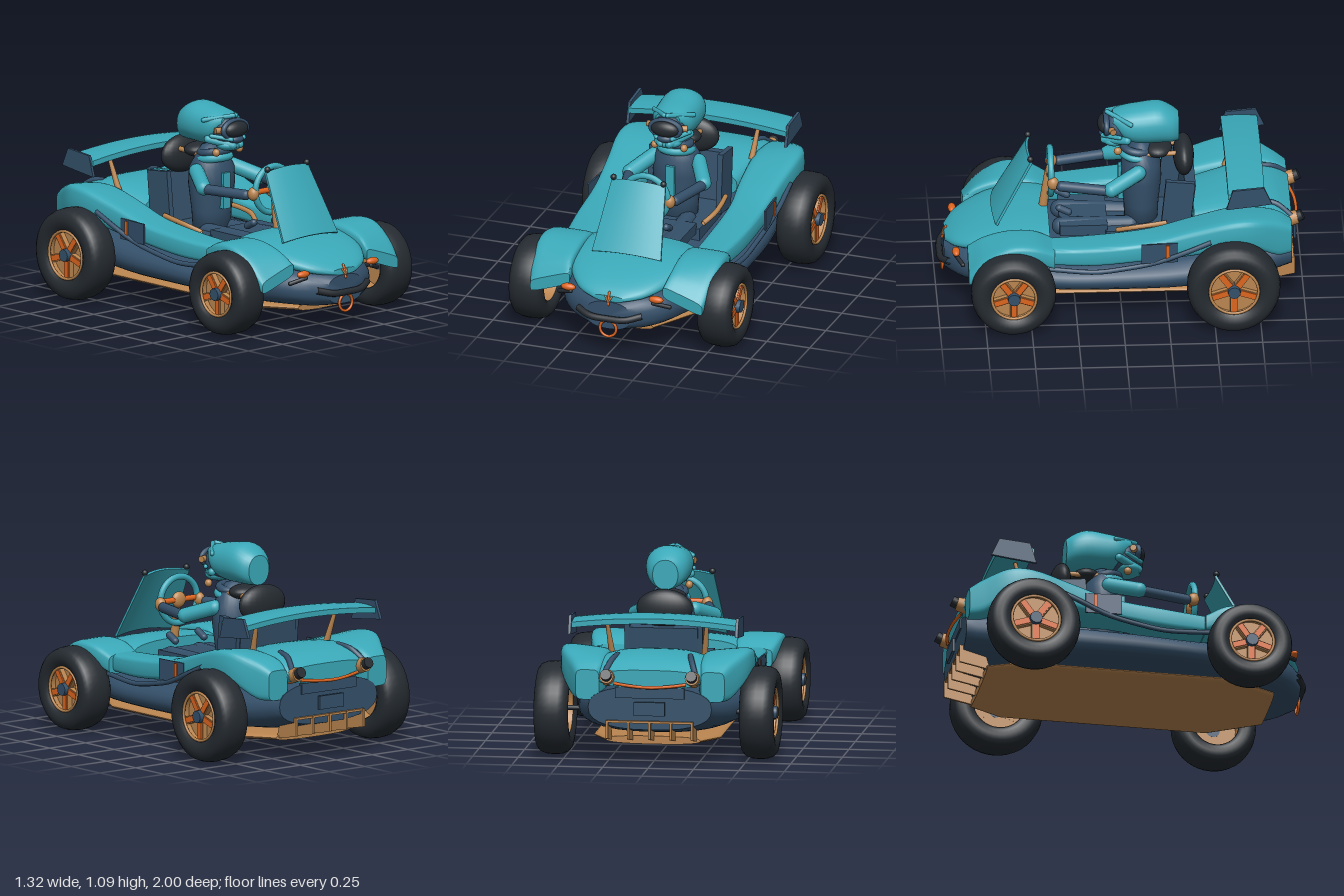
import * as THREE from 'three';
import { toCreasedNormals } from 'three/addons/utils/BufferGeometryUtils.js';

const paint = (name, color) => Object.assign(new THREE.MeshStandardMaterial({ color, side: THREE.DoubleSide }), { name });
const V = (x, y, z) => new THREE.Vector3(x, y, z);

// Rounded-box cross-section at depth z; p = 2 is an ellipse, larger is squarer
function ring(z, x0, x1, y0, y1, p = 3, n = 28) {
  const out = [];
  for (let i = 0; i < n; i++) {
    const a = (i / n) * Math.PI * 2, c = Math.cos(a), s = Math.sin(a);
    out.push(V((x0 + x1) / 2 + Math.sign(c) * Math.abs(c) ** (2 / p) * (x1 - x0) / 2,
      (y0 + y1) / 2 + Math.sign(s) * Math.abs(s) ** (2 / p) * (y1 - y0) / 2, z));
  }
  return out;
}

// Smooth skin through cross-sections ordered from front to back, with end caps
function loft(rings, crease = 0.7, sub = 4) {
  const n = rings[0].length, rows = (rings.length - 1) * sub;
  const lines = rings[0].map((_, j) => new THREE.CatmullRomCurve3(rings.map(r => r[j])));
  const pos = [], idx = [];
  for (let i = 0; i <= rows; i++) for (const l of lines) pos.push(...l.getPoint(i / rows).toArray());
  for (let i = 0; i < rows; i++) for (let j = 0; j < n; j++) {
    const k = (j + 1) % n, a = i * n + j, b = i * n + k;
    idx.push(a, a + n, b, a + n, b + n, b);
  }
  [0, rows].forEach((row, end) => {
    const c = V(0, 0, 0), o = row * n, m = pos.length / 3;
    rings[end ? rings.length - 1 : 0].forEach(p => c.addScaledVector(p, 1 / n));
    pos.push(c.x, c.y, c.z);
    for (let j = 0; j < n; j++) {
      const k = (j + 1) % n;
      idx.push(m, o + (end ? k : j), o + (end ? j : k));
    }
  });
  const g = new THREE.BufferGeometry();
  g.setAttribute('position', new THREE.Float32BufferAttribute(pos, 3));
  g.setIndex(idx);
  return toCreasedNormals(g, crease);
}

// Moves every vertex of a geometry by a rule
function bend(geo, rule) {
  const p = geo.attributes.position;
  for (let i = 0; i < p.count; i++) p.setXYZ(i, ...rule(p.getX(i), p.getY(i), p.getZ(i)));
  return toCreasedNormals(geo, 0.6);
}

export function createModel() {
  const teal = paint('teal', 0x3aa8b8), navy = paint('navy', 0x34506a), black = paint('rubber', 0x252b31);
  const tan = paint('tan', 0xbb8650), orange = paint('orange', 0xdd651f);
  const car = new THREE.Group();
  car.name = 'buggy';

  const add = (name, geo, mat, x = 0, y = 0, z = 0, parent = car) => {
    const m = new THREE.Mesh(geo, mat);
    m.name = name;
    m.position.set(x, y, z);
    parent.add(m);
    return m;
  };
  const box = (name, mat, w, h, d, x, y, z) => add(name, new THREE.BoxGeometry(w, h, d), mat, x, y, z);
  const ball = (name, mat, rx, ry, rz, x, y, z) => add(name, new THREE.SphereGeometry(1, 24, 16).scale(rx, ry, rz), mat, x, y, z);
  const tube = (name, mat, r, pts) => add(name, new THREE.TubeGeometry(new THREE.CatmullRomCurve3(pts), 24, r, 8), mat);
  // Rounded or tapered limb between two points
  const limb = (name, mat, a, b, r0, r1 = r0, round = true) => {
    const d = b.clone().sub(a), len = d.length();
    const geo = round ? new THREE.CapsuleGeometry(r0, len, 6, 14) : new THREE.CylinderGeometry(r1, r0, len, 16);
    const m = add(name, geo, mat, ...a.clone().add(b).multiplyScalar(0.5).toArray());
    m.quaternion.setFromUnitVectors(V(0, 1, 0), d.normalize());
    return m;
  };
  // Upright plate drawn as (distance behind centre, height)
  const plate = (pts, depth) => new THREE.ExtrudeGeometry(new THREE.Shape(pts.map(p => new THREE.Vector2(...p))), { depth, bevelEnabled: false }).rotateY(Math.PI / 2);
  const body = (name, mat, p, rows, sub) => add(name, loft(rows.map(([z, w, y0, y1]) => ring(z, -w, w, y0, y1, p)), 0.7, sub), mat);

  // Tub, floor plate, hood and rear deck
  body('tub', navy, 2.5, [[0.96, 0.13, 0.15, 0.31], [0.85, 0.28, 0.13, 0.35], [0.6, 0.4, 0.12, 0.38], [0.36, 0.46, 0.13, 0.34],
    [0, 0.48, 0.13, 0.35], [-0.35, 0.47, 0.13, 0.37], [-0.7, 0.42, 0.15, 0.42], [-0.93, 0.34, 0.2, 0.44]]);
  body('floorPlate', tan, 2.6, [[0.8, 0.2, 0.1, 0.145], [0.52, 0.35, 0.09, 0.145], [-0.62, 0.35, 0.09, 0.145], [-0.8, 0.26, 0.1, 0.145]], 1);
  body('hood', teal, 2.4, [[0.955, 0.09, 0.31, 0.345], [0.9, 0.19, 0.31, 0.385], [0.8, 0.27, 0.32, 0.43], [0.65, 0.33, 0.34, 0.472],
    [0.5, 0.34, 0.36, 0.49], [0.39, 0.3, 0.37, 0.48]]);
  body('rearDeck', teal, 2.8, [[-0.4, 0.24, 0.4, 0.55], [-0.55, 0.27, 0.4, 0.59], [-0.7, 0.32, 0.42, 0.605], [-0.84, 0.33, 0.42, 0.58], [-0.93, 0.28, 0.43, 0.53]]);

  // Curved windscreen
  add('windscreen', bend(new THREE.BoxGeometry(2, 0.405, 0.014, 12, 4, 1), (u, y, z) =>
    [u * (0.178 - y * 0.11), y + 0.008 * (1 - u * u), z + 0.025 * (1 - u * u)]), teal, 0, 0.644, 0.58).rotation.x = -0.495;

  // Front details
  tube('frontBumper', black, 0.019, [V(-0.185, 0.24, 0.935), V(-0.1, 0.22, 0.975), V(0, 0.217, 0.98), V(0.1, 0.22, 0.975), V(0.185, 0.24, 0.935)]);
  add('towRing', new THREE.TorusGeometry(0.047, 0.008, 8, 28), orange, 0, 0.155, 0.965);
  limb('noseOrnament', orange, V(0, 0.295, 0.965), V(0, 0.36, 0.945), 0.007);

  for (const s of [-1, 1]) {
    const side = s < 0 ? 'right' : 'left';
    // Side section; skew raises its outer edge
    const half = ([z, x0, x1, y0, y1, skew = 0]) => ring(z, s < 0 ? -x1 : x0, s < 0 ? -x0 : x1, y0, y1, 5)
      .map(p => V(p.x, p.y + skew * ((Math.abs(p.x) - x0) / (x1 - x0) - 0.5), z));
    // Side pod flowing into the rear fender
    add(side + 'SidePod', loft([[0.39, 0.29, 0.46, 0.34, 0.44], [0.15, 0.29, 0.485, 0.34, 0.455], [-0.15, 0.29, 0.495, 0.37, 0.49],
      [-0.38, 0.26, 0.51, 0.39, 0.55, 0.02], [-0.6, 0.25, 0.53, 0.43, 0.605, 0.03], [-0.72, 0.25, 0.515, 0.42, 0.605, 0.03],
      [-0.85, 0.26, 0.45, 0.36, 0.57], [-0.925, 0.28, 0.41, 0.36, 0.525]].map(half)), teal);
    add(side + 'FrontFender', loft([[0.84, 0.27, 0.5, 0.285, 0.355, -0.08], [0.76, 0.28, 0.52, 0.3, 0.43, -0.05], [0.62, 0.28, 0.53, 0.37, 0.49],
      [0.48, 0.28, 0.52, 0.37, 0.485], [0.37, 0.28, 0.49, 0.33, 0.435]].map(half)), teal);
    // Side bar and door panel with two marker strips
    tube('sideBar', navy, 0.014, [V(s * 0.47, 0.33, 0.4), V(s * 0.488, 0.315, 0.15), V(s * 0.495, 0.335, 0), V(s * 0.505, 0.375, -0.18), V(s * 0.52, 0.44, -0.34), V(s * 0.52, 0.5, -0.48)]);
    box('doorPanel', navy, 0.009, 0.115, 0.2, s * 0.509, 0.435, -0.2).rotation.y = s * 0.06;
    for (const z of [-0.16, -0.245]) box('markerStrip', orange, 0.006, 0.095, 0.022, s * (0.514 - (z + 0.2) * 0.06), 0.437, z);
    // Lights and small front bars
    ball('headlight', orange, 0.042, 0.02, 0.022, s * 0.255, 0.337, 0.9);
    limb('frontSlash', black, V(s * 0.24, 0.315, 0.905), V(s * 0.32, 0.288, 0.865), 0.012);
    limb('noseProng', tan, V(s * 0.004, 0.315, 0.965), V(s * 0.018, 0.34, 0.955), 0.005);
    ball('screenKnob', black, 0.017, 0.017, 0.017, s * 0.145, 0.838, 0.49);
    // Rear seams and exhausts
    tube('deckSeam', navy, 0.016, [V(s * 0.2, 0.585, -0.76), V(s * 0.22, 0.57, -0.85), V(s * 0.25, 0.51, -0.93)]);
    limb('exhaust', tan, V(s * 0.235, 0.475, -0.88), V(s * 0.235, 0.497, -0.965), 0.045, 0.038, false);
    limb('exhaustTip', black, V(s * 0.235, 0.492, -0.95), V(s * 0.235, 0.512, -0.99), 0.03, 0.03, false);
    // Wing supports and end plates
    limb('wingStrut', tan, V(s * 0.255, 0.56, -0.59), V(s * 0.275, 0.75, -0.65), 0.018, 0.01, false);
    add('wingEndPlate', plate([[0.565, 0.67], [0.6, 0.785], [0.77, 0.8], [0.815, 0.7], [0.7, 0.685]], 0.016), navy, s * 0.46 - 0.008);
    // Seat sides with trim
    box('seatSide', navy, 0.03, 0.34, 0.16, s * 0.2, 0.54, -0.31).rotation.x = -0.1;
    tube('seatTrim', tan, 0.014, [V(s * 0.2, 0.42, 0.02), V(s * 0.235, 0.45, -0.06), V(s * 0.24, 0.465, -0.15), V(s * 0.23, 0.475, -0.25)]);
    // Driver's limbs
    limb('upperArm', teal, V(s * 0.13, 0.73, -0.1), V(s * 0.215, 0.675, 0.05), 0.042);
    limb('forearm', navy, V(s * 0.215, 0.67, 0.07), V(s * 0.15, 0.67, 0.32), 0.029);
    ball('hand', tan, 0.03, 0.038, 0.032, s * 0.135, 0.68, 0.365);
    limb('leg', navy, V(s * 0.08, 0.39, -0.06), V(s * 0.1, 0.4, 0.32), 0.05);
    limb('kneePad', navy, V(s * 0.1, 0.485, 0.28), V(s * 0.1, 0.51, 0.33), 0.02);
    // Neck brace and helmet side pieces
    limb('neckBrace', tan, V(s * 0.07, 0.81, -0.14), V(s * 0.06, 0.812, -0.31), 0.014);
    ball('strapBuckle', tan, 0.02, 0.022, 0.022, s * 0.085, 0.845, 0.01);
    limb('helmetBolt', tan, V(s * 0.085, 0.975, 0.045), V(s * 0.115, 0.975, 0.035), 0.018, 0.018, false);
    limb('jawBar', teal, V(s * 0.025, 0.888, 0.08), V(s * 0.1, 0.915, -0.04), 0.022);
    limb('cheekBar', teal, V(s * 0.045, 0.925, 0.09), V(s * 0.112, 0.94, 0.0), 0.012);
    limb('browBar', teal, V(s * 0.01, 1.05, 0.065), V(s * 0.115, 1.02, -0.06), 0.013);

    // Wheels with open rim barrel, spokes and hub
    for (const [pos, z, r, x0, x1] of [['Front', 0.6, 0.232, 0.45, 0.645], ['Rear', -0.6, 0.256, 0.47, 0.66]]) {
      const wheel = new THREE.Group();
      wheel.name = side + pos + 'Wheel';
      wheel.position.set(s * (x0 + x1) / 2, r, z);
      wheel.rotation.z = -s * Math.PI / 2;
      car.add(wheel);
      const h = (x1 - x0) / 2, ri = r * 0.55;
      const wall = [[ri, 0.8], [ri * 1.15, 0.96], [r * 0.75, 1], [r * 0.86, 0.95], [r * 0.94, 0.78], [r * 0.985, 0.45]];
      const tyre = [...wall.map(([a, b]) => [a, -b]), [r, 0], ...wall.reverse(), [ri, -0.8]];
      add('tyre', toCreasedNormals(new THREE.LatheGeometry(tyre.map(([a, b]) => new THREE.Vector2(a, b * h)), 40), 0.8), black, 0, 0, 0, wheel);
      add('rimBarrel', new THREE.CylinderGeometry(ri * 0.985, ri * 0.985, h * 1.62, 36, 1, true), tan, 0, 0, 0, wheel);
      add('rimLip', new THREE.TorusGeometry(ri * 0.94, 0.008, 8, 36).rotateX(Math.PI / 2), tan, 0, h * 0.78, 0, wheel);
      add('rimDish', new THREE.CylinderGeometry(ri * 0.98, ri * 0.98, 0.02, 36), tan, 0, h * 0.25, 0, wheel);
      for (let i = 0; i < 5; i++) {
        const arm = new THREE.Group();
        arm.name = 'spoke';
        arm.rotation.y = i * Math.PI * 0.4 + (s > 0 ? 0 : Math.PI);
        wheel.add(arm);
        add('spokeArm', new THREE.BoxGeometry(ri * 0.9, 0.05, 0.042), tan, ri * 0.5, h * 0.4, 0, arm);
        add('spokeFace', new THREE.BoxGeometry(ri * 0.68, 0.03, 0.032), orange, ri * 0.58, h * 0.58, 0, arm);
      }
      add('hub', new THREE.CylinderGeometry(0.034, 0.04, 0.08, 12), navy, 0, h * 0.55, 0, wheel);
      limb('axle', black, V(s * 0.3, r, z), V(s * 0.52, r, z), 0.014, 0.014, false);
    }
  }

  // Arched rear wing
  add('rearWing', bend(new THREE.BoxGeometry(0.92, 0.03, 0.2, 16, 1, 6), (x, y, z) =>
    [x, y + 0.03 * (1 - (x / 0.46) ** 2) + 0.008 * (1 - (z / 0.1) ** 2), z]), teal, 0, 0.743, -0.675);

  // Tail: trim strip, mouth, plate and finned diffuser
  tube('tailStrip', orange, 0.009, [V(-0.2, 0.455, -0.935), V(-0.1, 0.445, -0.958), V(0, 0.44, -0.965), V(0.1, 0.445, -0.958), V(0.2, 0.455, -0.935)]);
  box('tailMouth', navy, 0.38, 0.06, 0.02, 0, 0.405, -0.928);
  box('tailPlate', navy, 0.17, 0.075, 0.015, 0, 0.32, -0.955);
  box('diffuserTop', tan, 0.48, 0.012, 0.12, 0, 0.244, -0.885);
  for (let i = -2; i <= 2; i++) add('diffuserFin', plate([[0.78, 0.115], [0.95, 0.15], [0.95, 0.25], [0.82, 0.25]], 0.012), tan, i * 0.117 - 0.006);

  // Seat and headrest
  box('seatBack', navy, 0.38, 0.36, 0.06, 0, 0.5, -0.36).rotation.x = -0.12;
  box('seatBase', navy, 0.4, 0.08, 0.4, 0, 0.37, -0.12);
  box('kneeConsole', navy, 0.36, 0.06, 0.26, 0, 0.41, 0.2);
  ball('headrest', black, 0.155, 0.105, 0.057, 0, 0.775, -0.352);

  // Steering wheel and column
  add('steeringWheel', new THREE.TorusGeometry(0.128, 0.018, 10, 36), teal, 0, 0.69, 0.375);
  limb('steeringGrip', orange, V(-0.12, 0.69, 0.375), V(0.12, 0.69, 0.375), 0.016);
  ball('steeringHub', tan, 0.045, 0.045, 0.025, 0, 0.69, 0.375);
  limb('steeringColumn', tan, V(0, 0.47, 0.415), V(0, 0.69, 0.385), 0.025, 0.02, false);

  // Driver's torso and collar
  const torso = [[0.001, 0.34], [0.11, 0.35], [0.12, 0.5], [0.14, 0.65], [0.135, 0.74], [0.1, 0.8], [0.06, 0.86], [0.001, 0.87]];
  add('torso', new THREE.LatheGeometry(torso.map(p => new THREE.Vector2(...p)), 28).scale(1, 1, 0.8), navy, 0, 0, -0.12);
  for (const [name, mat, y, r] of [['collar', teal, 0.79, 0.085], ['neckRing', navy, 0.825, 0.075]]) {
    add(name, new THREE.TorusGeometry(r, 0.022, 10, 28), mat, 0, y, -0.1).rotation.x = Math.PI / 2 - 0.15;
  }
  ball('neckSupport', black, 0.1, 0.042, 0.08, 0, 0.82, -0.21);
  box('chestStrip', teal, 0.05, 0.2, 0.03, 0, 0.62, -0.01);

  // Helmet shell over a dark head
  body('helmet', teal, 2.2, [[0.035, 0.07, 0.98, 1.05], [-0.03, 0.112, 0.895, 1.068], [-0.1, 0.122, 0.87, 1.08], [-0.22, 0.121, 0.868, 1.092],
    [-0.29, 0.1, 0.868, 1.06], [-0.325, 0.07, 0.872, 1.035]]);
  ball('head', navy, 0.092, 0.095, 0.09, 0, 0.955, 0.0);
  add('goggleFrame', new THREE.TorusGeometry(0.08, 0.016, 10, 28).scale(1.05, 0.64, 1), navy, 0, 0.975, 0.07);
  ball('goggleLens', black, 0.082, 0.046, 0.04, 0, 0.975, 0.078);
  ball('mouthGuard', navy, 0.05, 0.025, 0.035, 0, 0.92, 0.075);
  ball('chinGuard', teal, 0.08, 0.036, 0.07, 0, 0.885, 0.025);
  return car;
}
